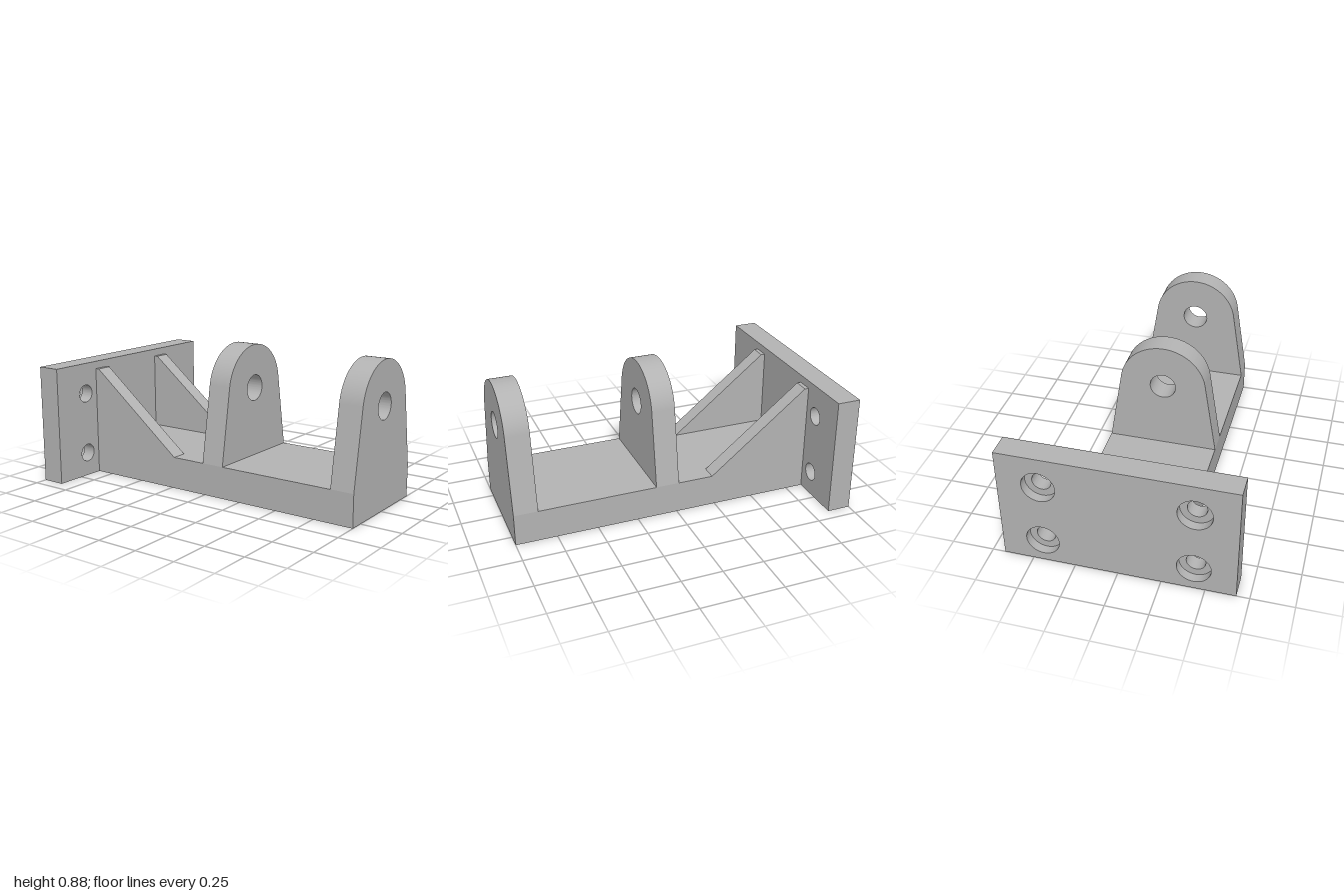
import * as THREE from 'three';
import { toCreasedNormals } from 'three/addons/utils/BufferGeometryUtils.js';

const HALF = 0.337;   // half width of the base
const DECK = 0.195;   // top of the base
const PLATE_Z = -0.858; // front face of the mounting plate

export function createModel() {
  const model = new THREE.Group();
  model.name = 'mountingBracket';
  const metal = new THREE.MeshStandardMaterial({ color: 0xb3b3b3 });
  metal.name = 'grey metal';

  const add = (name, geometry, parent = model) => {
    const mesh = new THREE.Mesh(geometry, metal);
    mesh.name = name;
    parent.add(mesh);
    return mesh;
  };
  const extrude = (shape, depth) => toCreasedNormals(
    new THREE.ExtrudeGeometry(shape, { depth, bevelEnabled: false, curveSegments: 40 }), 0.5);
  const hole = (x, y, r) => new THREE.Path().absarc(x, y, r, 0, Math.PI * 2, true);

  // Long base block
  const base = new THREE.BoxGeometry(2 * HALF, DECK, 1 - PLATE_Z);
  add('base', base).position.set(0, DECK / 2, (1 + PLATE_Z) / 2);

  // Two upright lugs: sides run tangent into a round top, with a pin hole
  const cy = 0.615, r = 0.265;
  const tangent = Math.atan2(DECK - cy, HALF) + Math.acos(r / Math.hypot(HALF, DECK - cy));
  const lug = new THREE.Shape();
  lug.moveTo(-HALF, DECK);
  lug.lineTo(HALF, DECK);
  lug.absarc(0, cy, r, tangent, Math.PI - tangent, false);
  lug.closePath();
  lug.holes.push(hole(0, cy, 0.079));
  const lugGeometry = extrude(lug, 0.144);
  add('frontLug', lugGeometry).position.z = 0.856;
  add('middleLug', lugGeometry).position.z = -0.012;

  // Mounting plate: front layer with bolt holes, rear layer with counterbores
  const plate = new THREE.Group();
  plate.name = 'mountingPlate';
  model.add(plate);
  const plateLayer = (name, radius, z0, z1) => {
    const shape = new THREE.Shape();
    shape.moveTo(-0.675, 0);
    shape.lineTo(0.675, 0);
    shape.lineTo(0.675, 0.724);
    shape.lineTo(-0.675, 0.724);
    shape.closePath();
    for (const x of [-0.434, 0.434])
      for (const y of [0.147, 0.532]) shape.holes.push(hole(x, y, radius));
    add(name, extrude(shape, z1 - z0), plate).position.z = z0;
  };
  plateLayer('boltHoleLayer', 0.055, -0.945, PLATE_Z);
  plateLayer('counterboreLayer', 0.097, -1, -0.945);

  // Sloping ribs bracing the plate; profile drawn in (-z, y), then turned
  const rib = new THREE.Shape();
  rib.moveTo(0.23, DECK);
  rib.lineTo(-PLATE_Z, DECK);
  rib.lineTo(-PLATE_Z, 0.677);
  rib.lineTo(0.833, 0.677);
  rib.closePath();
  const ribWidth = 0.097;
  const ribGeometry = extrude(rib, ribWidth).rotateY(Math.PI / 2);
  add('leftRib', ribGeometry).position.x = HALF - ribWidth;
  add('rightRib', ribGeometry).position.x = -HALF;

  return model;
}
